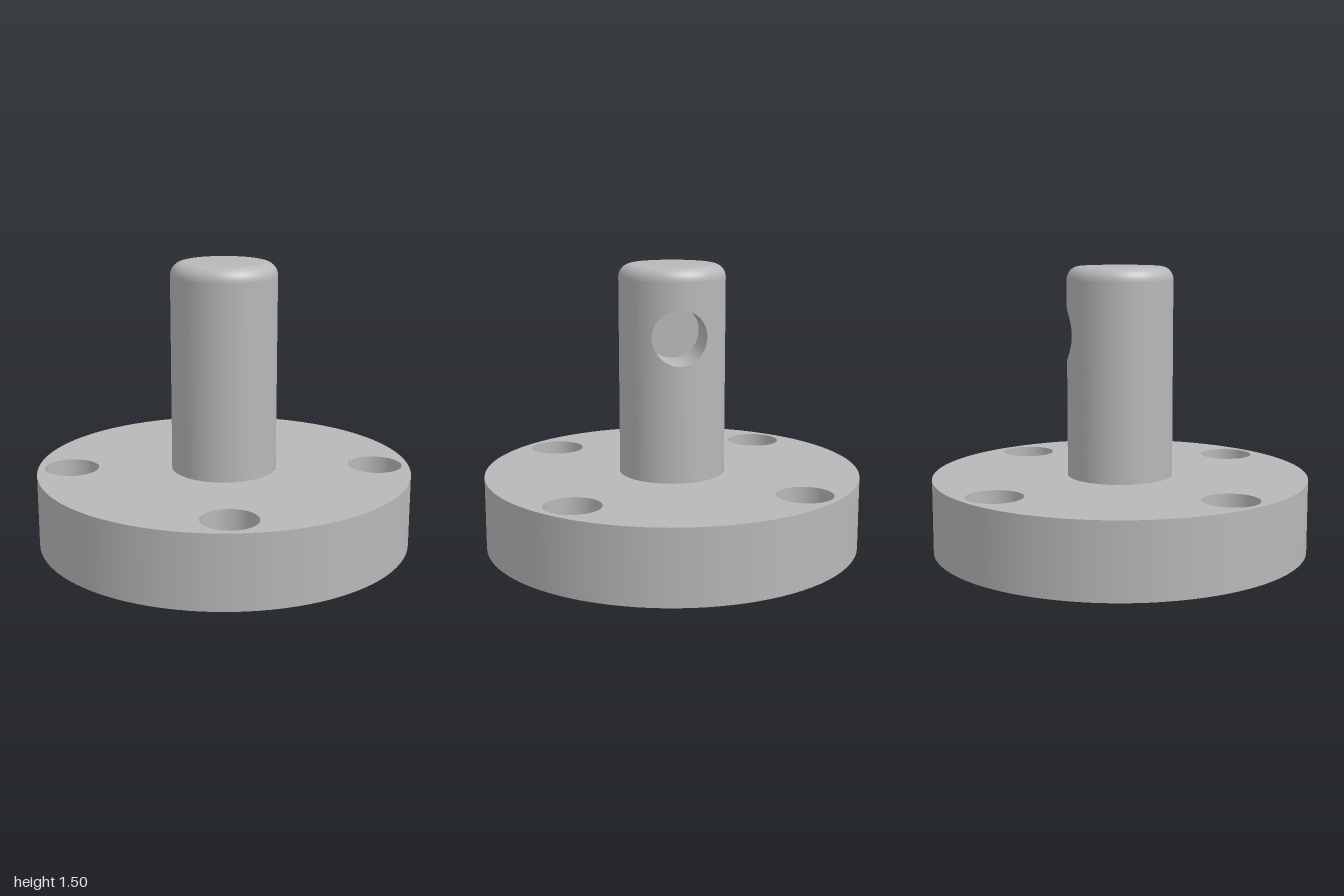
import * as THREE from 'three';
import { ParametricGeometry } from 'three/addons/geometries/ParametricGeometry.js';

const FLANGE_R = 1, FLANGE_H = 0.39;
const BOLT_R = 0.145, BOLT_POS = 0.58;
const RECESS_R = 0.39, RECESS_D = 0.28;
const POST_R = 0.28, POST_TOP = 1.5, FILLET = 0.07;
const PIN_R = 0.143, PIN_Y = 1.145, PIN_FLOOR_X = 0;
const SEG = 96;

export function createModel() {
  const model = new THREE.Group();
  const metal = new THREE.MeshStandardMaterial({ color: 0xb8b8b8 });
  metal.name = 'grey metal';

  const add = (name, geometry, parent, x = 0, y = 0, z = 0) => {
    const mesh = new THREE.Mesh(geometry, metal);
    mesh.name = name;
    mesh.position.set(x, y, z);
    parent.add(mesh);
    return mesh;
  };
  const group = (name) => {
    const g = new THREE.Group();
    g.name = name;
    model.add(g);
    return g;
  };

  // Open tube wall: faces outward when y rises, inward when it falls
  const wall = (r, yFrom, yTo, segments = SEG) =>
    new THREE.LatheGeometry([new THREE.Vector2(r, yFrom), new THREE.Vector2(r, yTo)], segments);

  // Flat disc with the four bolt holes and a central opening
  const bolts = [-1, 1].flatMap((sx) => [-1, 1].map((sz) => [sx * BOLT_POS, sz * BOLT_POS]));
  const plate = (centreRadius) => {
    const shape = new THREE.Shape().absarc(0, 0, FLANGE_R, 0, Math.PI * 2);
    for (const [x, z, r] of [...bolts.map((b) => [...b, BOLT_R]), [0, 0, centreRadius]])
      shape.holes.push(new THREE.Path().absarc(x, z, r, 0, Math.PI * 2, true));
    return new THREE.ShapeGeometry(shape, SEG);
  };

  // Flange
  const flange = group('flange');
  add('flangeRim', wall(FLANGE_R, 0, FLANGE_H), flange);
  add('flangeTop', plate(POST_R).rotateX(-Math.PI / 2), flange, 0, FLANGE_H);
  add('flangeUnderside', plate(RECESS_R).rotateX(Math.PI / 2), flange);
  for (const [x, z] of bolts) add('boltHole', wall(BOLT_R, FLANGE_H, 0), flange, x, 0, z);

  // Round recess under the flange
  add('recessWall', wall(RECESS_R, RECESS_D, 0), flange);
  add('recessCeiling', new THREE.CircleGeometry(RECESS_R, SEG).rotateX(Math.PI / 2), flange, 0, RECESS_D);

  // Post: plain half on -x, half with the pin hole on +x
  const post = group('post');
  const sideTop = POST_TOP - FILLET;
  add('postPlainHalf',
    new THREE.CylinderGeometry(POST_R, POST_R, sideTop - FLANGE_H, SEG / 2, 1, true, Math.PI, Math.PI),
    post, 0, (sideTop + FLANGE_H) / 2);

  // Rings that blend from the pin hole rim to the border of the half cylinder
  const drilledHalf = (u, v, target) => {
    const a = u * Math.PI * 2, c = Math.cos(a), s = Math.sin(a);
    const m = Math.max(Math.abs(c), Math.abs(s));
    const rimAngle = Math.asin(PIN_R * c / POST_R);
    const angle = THREE.MathUtils.lerp(rimAngle, (c / m) * Math.PI / 2, v);
    const edgeY = PIN_Y + (s / m) * (s > 0 ? sideTop - PIN_Y : PIN_Y - FLANGE_H);
    const y = THREE.MathUtils.lerp(PIN_Y + PIN_R * s, edgeY, v);
    target.set(POST_R * Math.cos(angle), y, POST_R * Math.sin(angle));
  };
  const drilled = new ParametricGeometry(drilledHalf, 128, 20);
  // Exact radial normals
  const p = drilled.attributes.position;
  for (let i = 0; i < p.count; i++)
    drilled.attributes.normal.setXYZ(i, p.getX(i) / POST_R, 0, p.getZ(i) / POST_R);
  add('postDrilledHalf', drilled, post);

  // Blind pin hole
  const pinWall = (u, v, target) => {
    const a = u * Math.PI * 2, z = PIN_R * Math.cos(a);
    const rimX = Math.sqrt(POST_R * POST_R - z * z);
    target.set(THREE.MathUtils.lerp(PIN_FLOOR_X, rimX, v), PIN_Y + PIN_R * Math.sin(a), z);
  };
  add('pinHoleWall', new ParametricGeometry(pinWall, 128, 2), post);
  add('pinHoleFloor', new THREE.CircleGeometry(PIN_R, SEG).rotateY(Math.PI / 2), post, PIN_FLOOR_X, PIN_Y);

  // Rounded top edge and flat cap
  const arc = [];
  for (let i = 0; i <= 10; i++) {
    const a = (i / 10) * Math.PI / 2;
    arc.push(new THREE.Vector2(POST_R - FILLET + FILLET * Math.cos(a), sideTop + FILLET * Math.sin(a)));
  }
  add('postRoundedEdge', new THREE.LatheGeometry(arc, SEG), post);
  add('postCap', new THREE.CircleGeometry(POST_R - FILLET, SEG).rotateX(-Math.PI / 2), post, 0, POST_TOP);

  return model;
}
